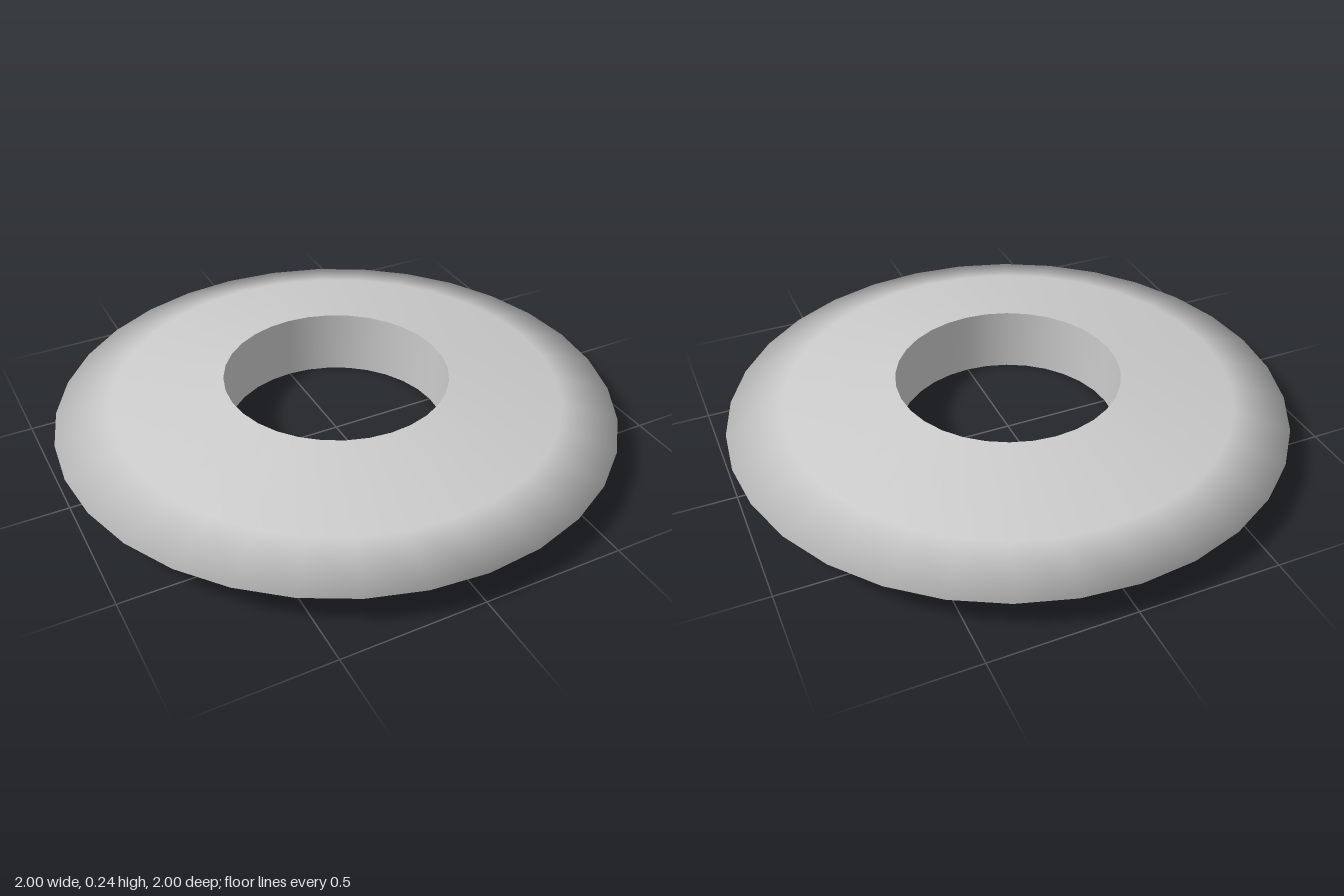
import * as THREE from 'three';

const SEGMENTS = 32;
const HOLE_RADIUS = 0.4;
const HEIGHT = 0.24;

// Revolves a profile of [radius, y] points around the y axis
function revolve(name, profile, material) {
  const points = profile.map(([r, y]) => new THREE.Vector2(r, y));
  const mesh = new THREE.Mesh(new THREE.LatheGeometry(points, SEGMENTS), material);
  mesh.name = name;
  return mesh;
}

export function createModel() {
  const group = new THREE.Group();
  group.name = 'ringDisc';
  const material = new THREE.MeshStandardMaterial({ color: 0xcccccc });

  // Bevelled body, smooth from the lower face around the thin rim to the upper face
  group.add(revolve('discBody', [
    [HOLE_RADIUS, 0],
    [0.8, 0.063],
    [1, HEIGHT / 2],
    [0.8, HEIGHT - 0.063],
    [HOLE_RADIUS, HEIGHT],
  ], material));

  // Straight wall of the centre hole, with sharp edges to the body
  group.add(revolve('holeWall', [[HOLE_RADIUS, HEIGHT], [HOLE_RADIUS, 0]], material));

  return group;
}
